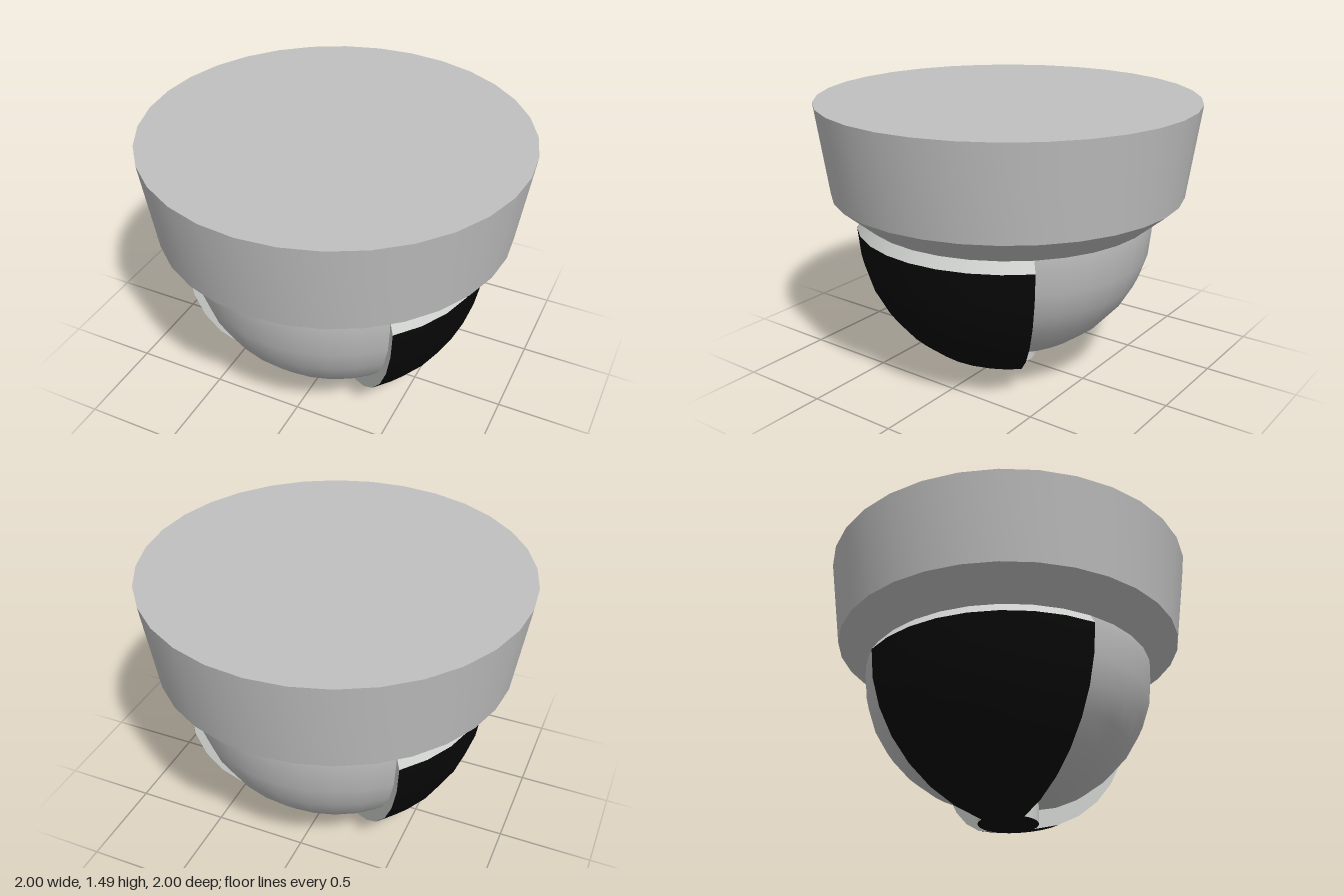
import * as THREE from 'three';
import { toCreasedNormals } from 'three/addons/utils/BufferGeometryUtils.js';

const R = 0.81;          // outer shell radius and height of its centre
const INNER = 0.775;     // inner dome radius
const DEPTH = 0.71;      // inner dome depth
const TOP = 0.865;       // where the dome meets the housing
const STEPS = 8;         // rings from pole to equator

// Points on a hanging quarter ellipse, from the given ring up to the equator
function arc(rx, ry, first = 0) {
  const points = [];
  for (let i = first; i <= STEPS; i++) {
    const a = (i / STEPS) * Math.PI / 2;
    points.push(new THREE.Vector2(rx * Math.sin(a), R - ry * Math.cos(a)));
  }
  return points;
}

export function createModel() {
  const model = new THREE.Group();
  const grey = new THREE.MeshStandardMaterial({ color: 0xc0c0c0 });
  grey.name = 'housing grey';
  const pale = new THREE.MeshStandardMaterial({ color: 0xced1ce, side: THREE.DoubleSide });
  pale.name = 'rim pale grey';
  const black = new THREE.MeshStandardMaterial({ color: 0x080808 });
  black.name = 'shell black';

  const add = (name, geometry, material) => {
    const mesh = new THREE.Mesh(geometry, material);
    mesh.name = name;
    model.add(mesh);
    return mesh;
  };
  const v = (x, y) => new THREE.Vector2(x, y);

  // Tapered mounting housing with a bevelled lower edge
  const housing = new THREE.LatheGeometry(
    [v(0, TOP), v(INNER, TOP), v(0.935, 1.0), v(1, 1.485), v(0, 1.485)], 32);
  add('housing', toCreasedNormals(housing, Math.PI / 6), grey);

  // Recessed inner dome
  add('innerDome', new THREE.LatheGeometry([...arc(INNER, DEPTH), v(INNER, TOP)], 32), grey);

  // Two dark shell panels, one on each side, with bevelled pale top rims
  const outer = arc(R, R, 1);
  const quarter = Math.PI / 2;
  for (const [side, start] of [['left', quarter / 2], ['right', quarter * 2.5]]) {
    add(side + 'ShellPanel', new THREE.LatheGeometry(outer, 8, start, quarter), black);
    add(side + 'ShellRim', new THREE.LatheGeometry([v(R, R), v(INNER, TOP)], 8, start, quarter), pale);
  }

  // Cut edges of the panels, standing at the four diagonals
  const inner = arc(INNER, DEPTH).reverse();
  inner[inner.length - 1] = v(outer[0].x, 0.1);
  const edge = new THREE.ShapeGeometry(new THREE.Shape([...outer, v(INNER, TOP), ...inner]));
  for (let i = 0; i < 4; i++) {
    add('panelEdge' + (i + 1), edge, pale).rotation.y = quarter * (i + 0.5);
  }

  // Small round cap joining the panels at the bottom
  add('bottomCap', new THREE.LatheGeometry(arc(R, R).slice(0, 2), 32), black);
  const wall = [v(outer[0].x, outer[0].y), v(outer[0].x, 0.12)];
  for (const [side, start] of [['front', -quarter / 2], ['back', quarter * 1.5]]) {
    add(side + 'CapWall', new THREE.LatheGeometry(wall, 8, start, quarter), pale);
  }

  return model;
}
